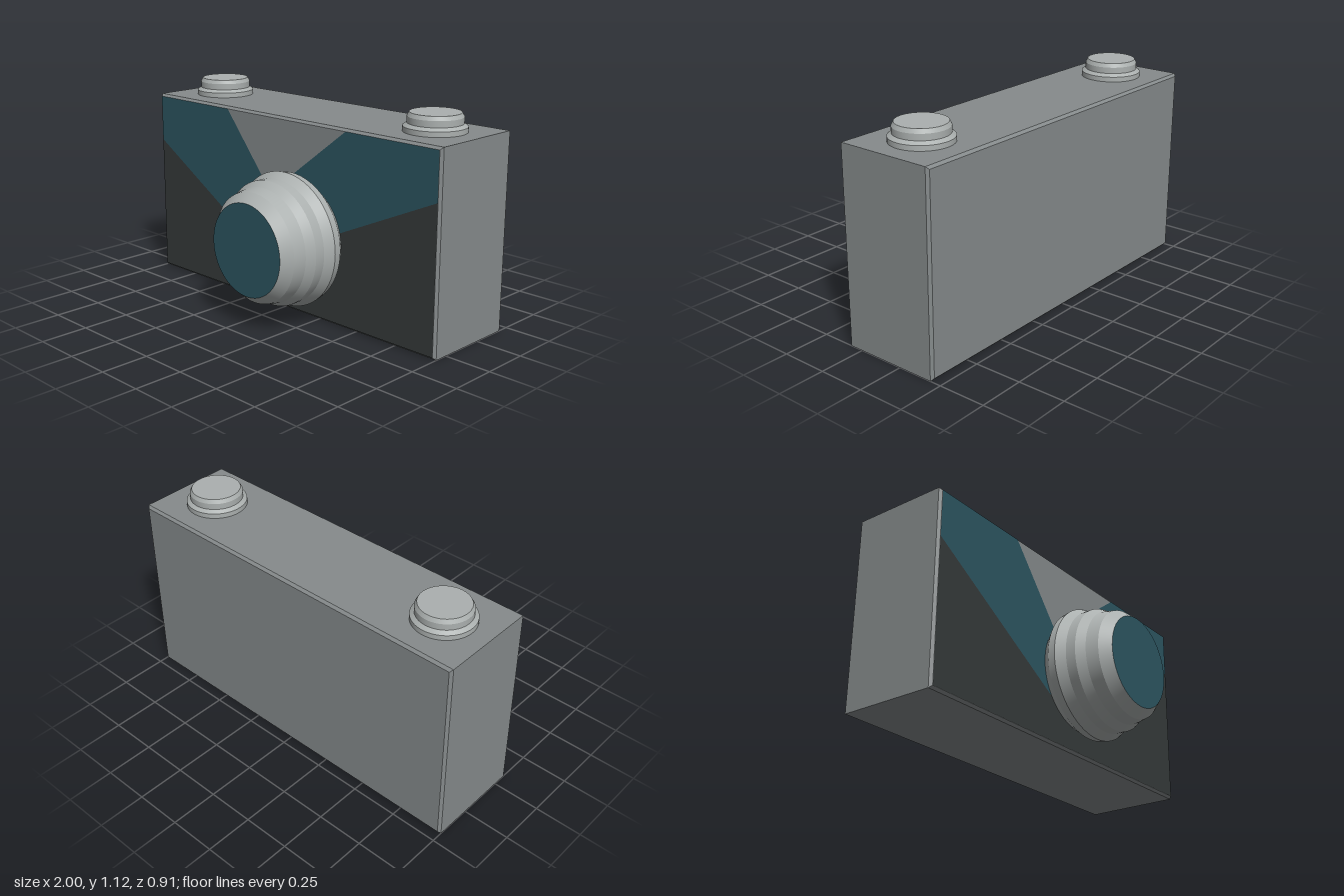
import * as THREE from 'three';
import { toCreasedNormals } from 'three/addons/utils/BufferGeometryUtils.js';

const material = (name, color) => {
  const m = new THREE.MeshStandardMaterial({ color });
  m.name = name;
  return m;
};

const vectors = (points) => points.map(([x, y]) => new THREE.Vector2(x, y));

export function createModel() {
  const grey = material('body grey', 0x868b8c);
  const silver = material('silver', 0xabb0af);
  const teal = material('teal', 0x2d5662);
  const charcoal = material('charcoal', 0x363b3b);

  const model = new THREE.Group();
  model.name = 'camera';
  const add = (name, geometry, mat, x = 0, y = 0, z = 0) => {
    const mesh = new THREE.Mesh(geometry, mat);
    mesh.name = name;
    mesh.position.set(x, y, z);
    model.add(mesh);
    return mesh;
  };
  // Turned part: smooth around, crisp between bands
  const turned = (profile) => toCreasedNormals(new THREE.LatheGeometry(vectors(profile), 64), 0.15);

  // Body block with chamfered front and back rims
  const bevel = 0.013, back = -0.453, front = 0.085;
  const outline = new THREE.Shape(vectors([[-1, 0], [1, 0], [1, 1.022], [-1, 1.022]]));
  add('body', new THREE.ExtrudeGeometry(outline, {
    depth: front - back - 2 * bevel,
    bevelEnabled: true, bevelSegments: 1,
    bevelSize: bevel, bevelOffset: -bevel, bevelThickness: bevel,
  }), grey, 0, 0, back + bevel);

  // Coloured front panels; the bare body shows as the upper triangle
  const e = 0.987, top = 1.009;
  const panel = (name, points, mat) =>
    add(name, new THREE.ShapeGeometry(new THREE.Shape(vectors(points))), mat, 0, 0, front + 0.002);
  panel('upperPanel', [[-e, 0.76], [-0.14, 0.25], [e, 0.765], [e, top], [0.422, top], [-0.1, 0.611], [-0.425, top], [-e, top]], teal);
  panel('lowerPanel', [[-e, 0.013], [e, 0.013], [e, 0.765], [-0.14, 0.25], [-e, 0.76]], charcoal);

  // Lens barrel and glass
  const lensX = 0.105, lensY = 0.422;
  const barrel = turned([
    [0.285, 0.075], [0.295, 0.085], [0.342, 0.14], [0.35, 0.185], [0.323, 0.235],
    [0.323, 0.29], [0.297, 0.335], [0.284, 0.4], [0.24, 0.453],
  ]).rotateX(Math.PI / 2);
  add('lensBarrel', barrel, silver, lensX, lensY);
  add('lensGlass', new THREE.CircleGeometry(0.24, 64), teal, lensX, lensY, 0.453);

  // Two top dials
  const dial = turned([
    [0.157, 0], [0.157, 0.028], [0.137, 0.043], [0.137, 0.075], [0.126, 0.095], [0, 0.095],
  ]);
  for (const side of [1, -1]) {
    add(side > 0 ? 'leftDial' : 'rightDial', dial, silver, side * 0.75, 1.02, -0.186);
  }
  return model;
}
